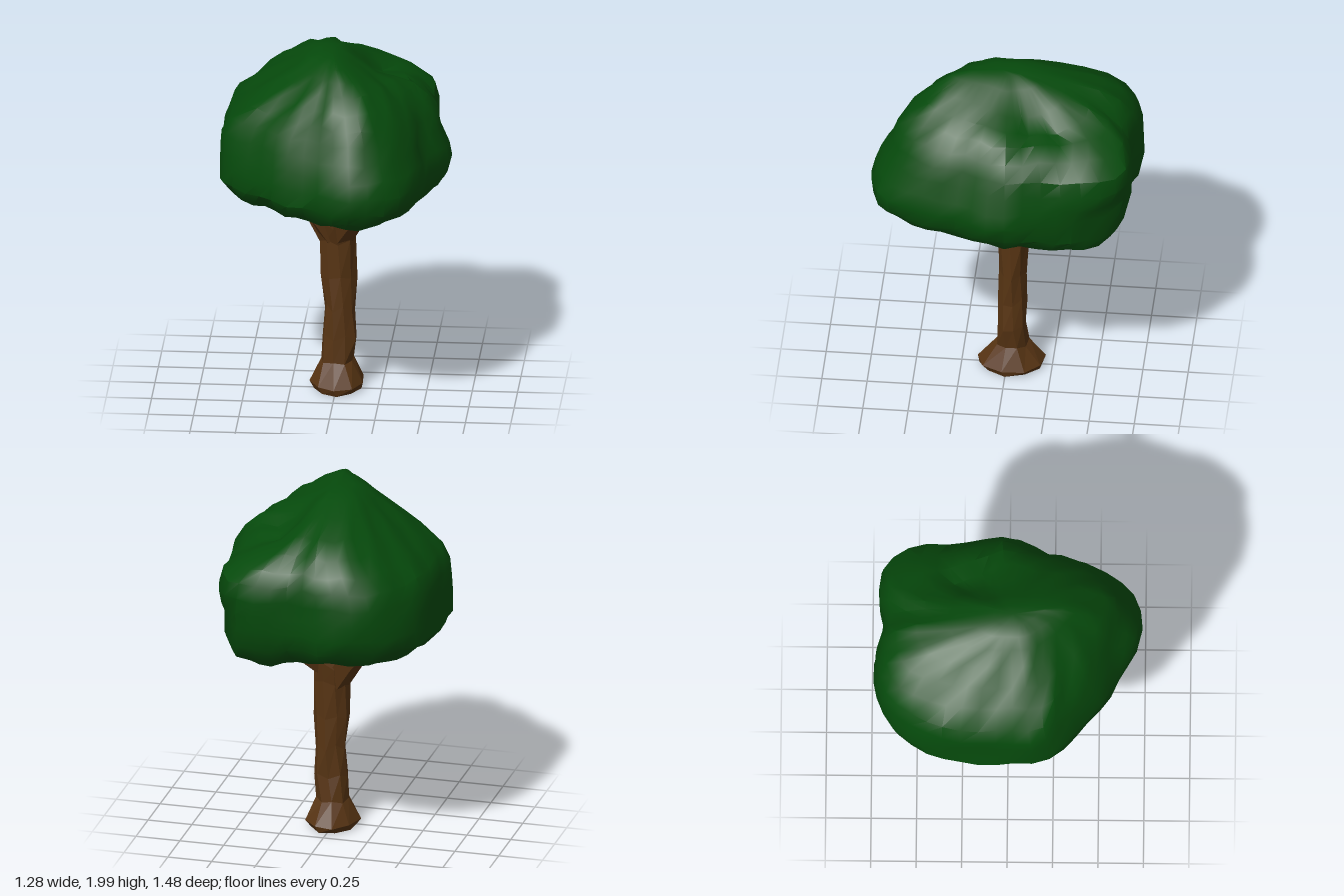
import * as THREE from 'three';
import { toCreasedNormals } from 'three/addons/utils/BufferGeometryUtils.js';

const bark = new THREE.MeshStandardMaterial({ color: 0x573413, flatShading: true });
const leaves = new THREE.MeshStandardMaterial({ color: 0x064a0c });
const bell = (d, width) => Math.exp(-(d * d) / (width * width));

// Skin a stack of equal-length rings and close both ends
function loft(rings) {
  const n = rings[0].length;
  const centre = (ring) => ring.reduce((s, p) => s.add(p), new THREE.Vector3()).divideScalar(n);
  const points = [...rings.flat(), centre(rings[0]), centre(rings[rings.length - 1])];
  const last = (rings.length - 1) * n;
  const index = [];
  for (let j = 0; j < n; j++) {
    const k = (j + 1) % n;
    for (let o = 0; o < last; o += n) {
      index.push(o + j, o + n + j, o + k, o + k, o + n + j, o + n + k);
    }
    index.push(last + n, j, k, last + n + 1, last + k, last + j);
  }
  const geometry = new THREE.BufferGeometry().setFromPoints(points);
  geometry.setIndex(index);
  geometry.computeVertexNormals();
  return geometry;
}

function addMesh(group, name, geometry, material) {
  const mesh = new THREE.Mesh(geometry, material);
  mesh.name = name;
  group.add(mesh);
}

// Trunk: height, then x and z extents of each ring
function trunkGeometry() {
  const levels = [
    [0.025, -0.07, 0.07, -0.1, 0.07],
    [0.008, -0.12, 0.13, -0.18, 0.14],
    [0.045, -0.138, 0.152, -0.205, 0.155],
    [0.165, -0.085, 0.092, -0.12, 0.058],
    [0.31, -0.078, 0.112, -0.105, 0.052],
    [0.48, -0.062, 0.1, -0.11, 0.048],
    [0.66, -0.086, 0.107, -0.108, 0.038],
    [0.87, -0.088, 0.107, -0.12, 0.045],
    [0.98, -0.11, 0.108, -0.14, 0.075],
    [1.08, -0.08, 0.12, -0.13, 0.09],
    [1.12, -0.03, 0.06, -0.05, 0.03],
  ];
  return loft(levels.map(([y, x0, x1, z0, z1], i) =>
    Array.from({ length: 9 }, (_, j) => {
      const a = (j / 9) * Math.PI * 2 + i * 0.12;
      const r = 1.03 + 0.05 * Math.sin(j * 2.7 + i * 1.9);
      const dy = i > 2 && i < 9 ? 0.02 * Math.sin(j * 3.1 + i) : 0;
      return new THREE.Vector3(
        (x0 + x1) / 2 + (r * (x1 - x0) / 2) * Math.cos(a),
        y + dy,
        (z0 + z1) / 2 + (r * (z1 - z0) / 2) * Math.sin(a));
    })));
}

// Branch: a tapering five-sided limb through a few points
function branchGeometry(path, radii) {
  const pts = path.map((p) => new THREE.Vector3(...p));
  const up = new THREE.Vector3(0, 1, 0);
  return loft(pts.map((p, i) => {
    const d = pts[Math.min(i + 1, pts.length - 1)].clone().sub(pts[Math.max(i - 1, 0)]).normalize();
    const u = d.clone().cross(up).normalize();
    const v = u.clone().cross(d);
    return Array.from({ length: 5 }, (_, j) => {
      const a = (j / 5) * Math.PI * 2 + 0.3;
      return p.clone()
        .addScaledVector(u, radii[i] * Math.cos(a))
        .addScaledVector(v, radii[i] * Math.sin(a));
    });
  }));
}

// Canopy: a plan outline scaled in each direction at every level, from the hollow underside to the crown
function canopyGeometry() {
  const plan = [
    [0.64, -0.04], [0.62, 0.07], [0.54, 0.23], [0.51, 0.39], [0.41, 0.6], [0.29, 0.71],
    [0.14, 0.745], [0.01, 0.71], [-0.11, 0.63], [-0.28, 0.55], [-0.43, 0.41], [-0.56, 0.31],
    [-0.63, 0.2], [-0.635, 0.03], [-0.64, -0.12], [-0.61, -0.38], [-0.48, -0.63],
    [-0.36, -0.71], [-0.2, -0.745], [-0.1, -0.745], [0.07, -0.69], [0.25, -0.72],
    [0.42, -0.68], [0.49, -0.6], [0.55, -0.46], [0.57, -0.3], [0.6, -0.17],
  ];
  const curve = new THREE.CatmullRomCurve3(plan.map(([x, z]) => new THREE.Vector3(x, 0, z)), true);
  const outline = curve.getSpacedPoints(44).slice(0, 44);
  // height, reach to -x, +x, -z, +z
  const levels = [
    [1.26, 0.12, 0.12, 0.12, 0.12],
    [1.25, 0.3, 0.28, 0.33, 0.35],
    [1.19, 0.43, 0.38, 0.46, 0.52],
    [1.175, 0.5, 0.46, 0.57, 0.64],
    [1.21, 0.58, 0.56, 0.65, 0.69],
    [1.28, 0.64, 0.62, 0.71, 0.735],
    [1.37, 0.635, 0.64, 0.74, 0.74],
    [1.46, 0.625, 0.62, 0.735, 0.71],
    [1.55, 0.62, 0.575, 0.73, 0.67],
    [1.64, 0.58, 0.555, 0.72, 0.62],
    [1.72, 0.48, 0.5, 0.69, 0.59],
    [1.8, 0.385, 0.43, 0.62, 0.53],
    [1.87, 0.29, 0.34, 0.5, 0.45],
    [1.93, 0.21, 0.23, 0.33, 0.38],
    [1.98, 0.15, 0.11, 0.18, 0.3],
    [2.0, 0.09, 0.03, 0.08, 0.2],
  ];
  return loft(levels.map(([y, xm, xp, zm, zp], i) => outline.map((p, j) => {
    let x = (p.x * (p.x > 0 ? xp : xm)) / 0.64;
    let z = (p.z * (p.z > 0 ? zp : zm)) / 0.745;
    // Back corner: bulge over a low crease, rounded off above
    const corner = bell(Math.hypot(p.x - 0.5, p.z + 0.5), 0.3);
    const swell = 0.09 * bell(y - 1.6, 0.11) - 0.07 * bell(y - 1.36, 0.1) - 0.17 * bell(y - 1.88, 0.13);
    const lumps = 0.006 * Math.sin(j * 1.3 + i * 0.9) + 0.006 * Math.sin(j * 0.7 - i * 1.7);
    x *= 1 + corner * swell + lumps;
    z *= 1 + corner * swell + lumps;
    // Hanging back lobe below and a valley beside the crown
    const sag = y < 1.3 ? 0.08 * bell(Math.hypot(x - 0.32, z + 0.4), 0.27) : 0;
    const high = THREE.MathUtils.smoothstep(y, 1.6, 1.88);
    const valley = 0.11 * high * bell(x - 0.22, 0.13) * bell(z + 0.2, 0.28);
    const wave = i > 1 && i < 13 ? 0.01 * Math.sin(j * 2.1 + i * 1.4) : 0;
    return new THREE.Vector3(x, y - sag - valley + wave, z);
  })));
}

export function createModel() {
  const tree = new THREE.Group();
  tree.name = 'tree';
  addMesh(tree, 'trunk', trunkGeometry(), bark);

  const branches = [
    ['frontRightBranch', [[0.03, 0.92, -0.01], [0.1, 1.05, 0.12], [0.19, 1.14, 0.27], [0.29, 1.22, 0.45]], [0.08, 0.07, 0.045, 0.02]],
    ['backLeftBranch', [[-0.02, 0.88, -0.05], [-0.12, 1.03, -0.11], [-0.23, 1.14, -0.18], [-0.37, 1.24, -0.28]], [0.08, 0.075, 0.065, 0.025]],
    ['backRightBranch', [[0.06, 0.94, -0.06], [0.15, 1.03, -0.15], [0.28, 1.12, -0.28]], [0.05, 0.032, 0.016]],
    ['leftBranch', [[-0.02, 0.9, -0.02], [-0.12, 1.05, 0.03], [-0.25, 1.24, 0.07]], [0.07, 0.05, 0.03]],
    ['topBranch', [[0.03, 1.0, -0.03], [0.05, 1.12, 0], [0.07, 1.27, 0.03]], [0.08, 0.06, 0.04]],
  ];
  for (const [name, path, radii] of branches) addMesh(tree, name, branchGeometry(path, radii), bark);

  addMesh(tree, 'canopy', toCreasedNormals(canopyGeometry(), 0.6), leaves);
  return tree;
}
